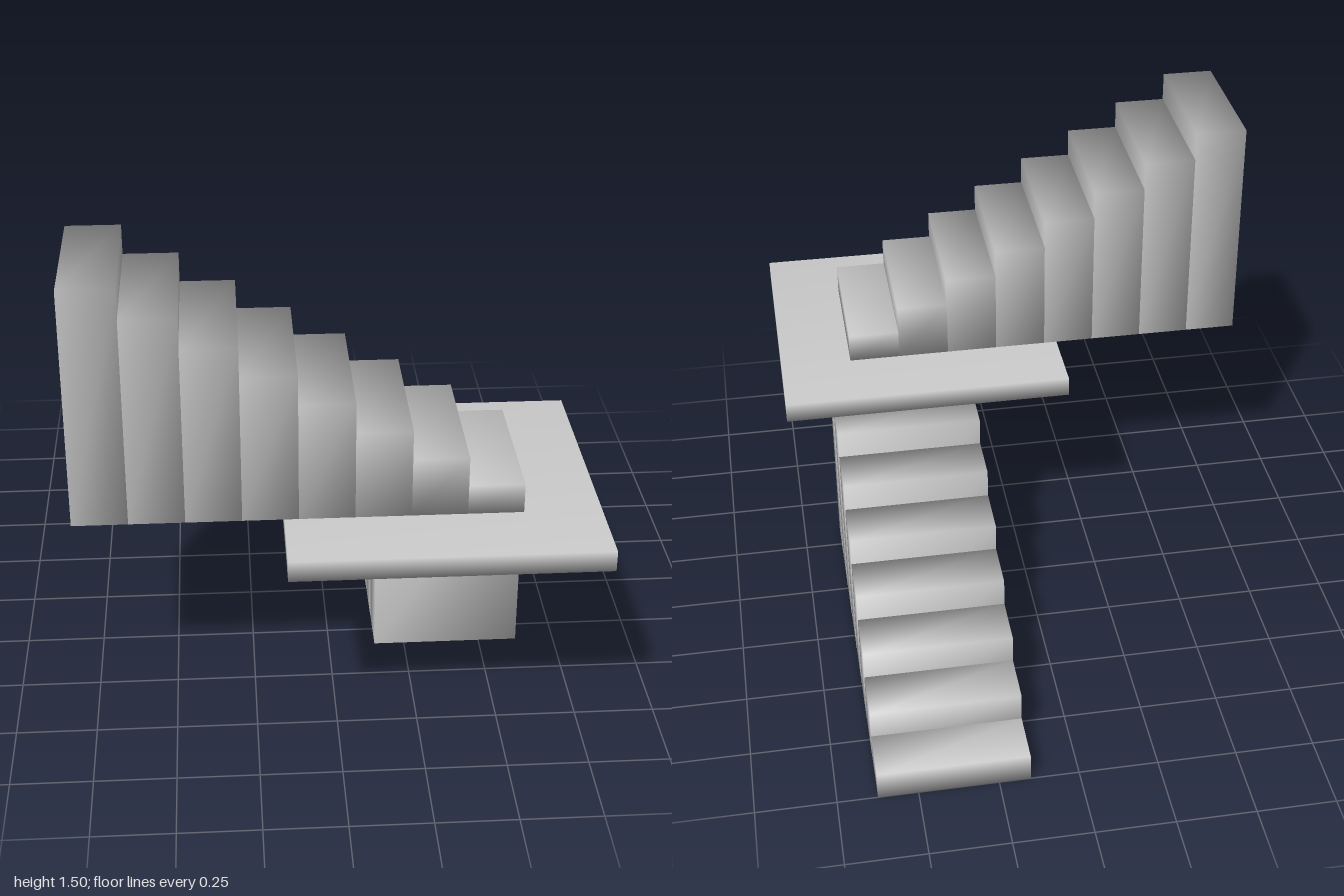
import * as THREE from 'three';
import { mergeVertices } from 'three/addons/utils/BufferGeometryUtils.js';

const STEPS = 8, RISE = 0.094, TREAD = 0.167, WIDTH = 0.473;
const LANDING_TOP = STEPS * RISE;

const material = new THREE.MeshStandardMaterial({ color: 0xcccccc });

// Box spanning two corners, with shared corners so the shading is smooth
function block(name, [x0, y0, z0], [x1, y1, z1]) {
  let geometry = new THREE.BoxGeometry(x1 - x0, y1 - y0, z1 - z0);
  geometry.deleteAttribute('normal');
  geometry.deleteAttribute('uv');
  geometry = mergeVertices(geometry);
  geometry.computeVertexNormals();
  const mesh = new THREE.Mesh(geometry, material);
  mesh.name = name;
  mesh.position.set((x0 + x1) / 2, (y0 + y1) / 2, (z0 + z1) / 2);
  return mesh;
}

export function createModel() {
  const model = new THREE.Group();
  model.name = 'staircase';

  const lowerFlight = new THREE.Group();
  lowerFlight.name = 'lowerFlight';
  const upperFlight = new THREE.Group();
  upperFlight.name = 'upperFlight';

  for (let i = 0; i < STEPS; i++) {
    const height = (i + 1) * RISE;

    // Lower flight climbs from the back towards the front
    const z = -1 + i * TREAD;
    lowerFlight.add(block(`lowerStep${i + 1}`, [0.152, 0, z], [0.152 + WIDTH, height, z + TREAD]));

    // Upper flight climbs from the landing towards -x
    const x = 0.551 - i * TREAD;
    upperFlight.add(block(`upperStep${i + 1}`,
      [x - TREAD, LANDING_TOP, 0.292], [x, LANDING_TOP + height, 0.292 + WIDTH]));
  }

  // Square slab where the flights turn
  const landing = block('landing', [-0.16, LANDING_TOP - 0.066, 0.06], [0.785, LANDING_TOP, 1]);

  model.add(lowerFlight, landing, upperFlight);
  return model;
}
